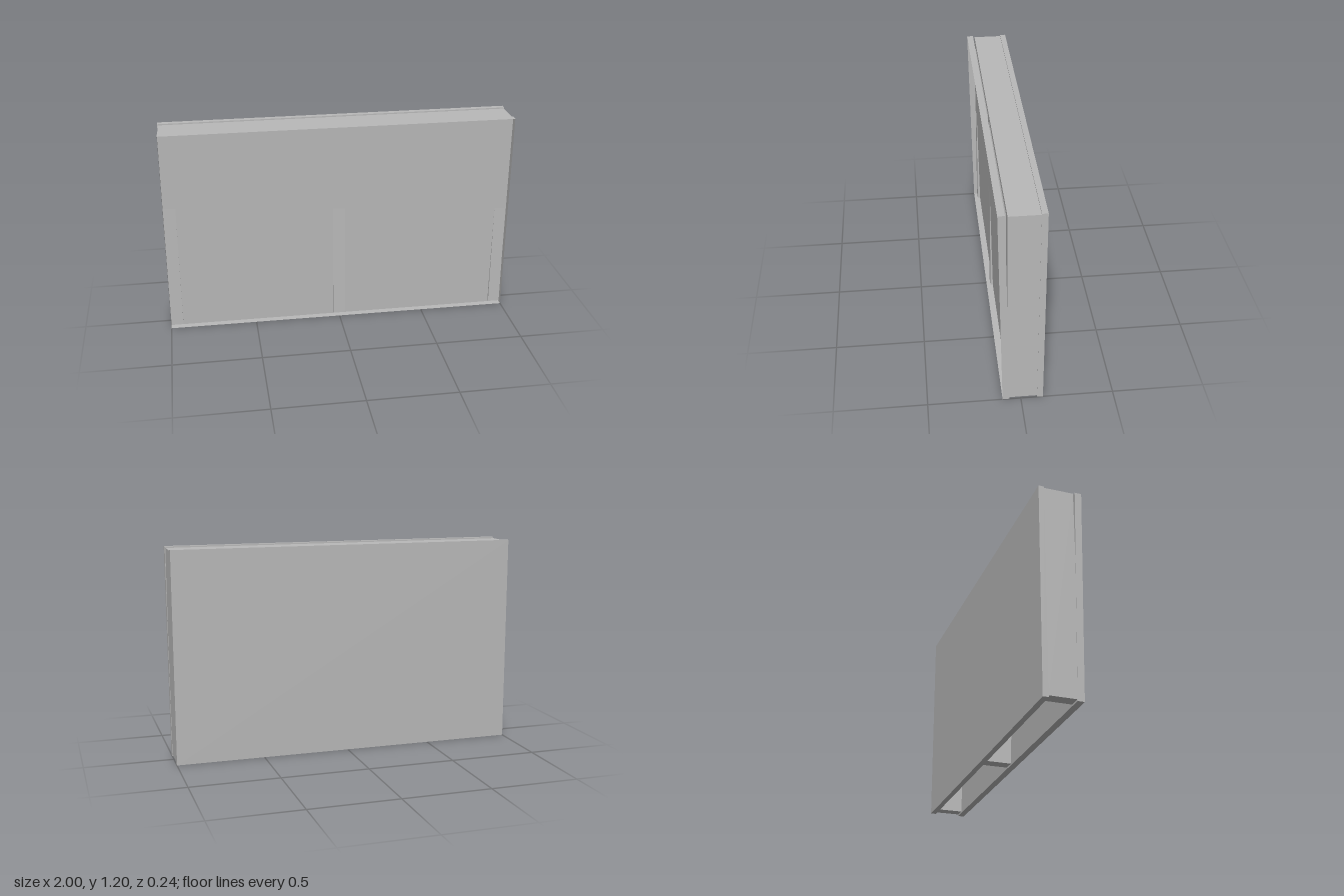
import * as THREE from 'three';

export function createModel() {
  const group = new THREE.Group();
  const grey = new THREE.MeshStandardMaterial({ color: 0xb8b8b8 });
  grey.name = 'plain grey';
  grey.side = THREE.DoubleSide;

  // Box given by its limits on each axis
  const box = (name, [x0, x1], [y0, y1], [z0, z1]) => {
    const mesh = new THREE.Mesh(new THREE.BoxGeometry(x1 - x0, y1 - y0, z1 - z0), grey);
    mesh.position.set((x0 + x1) / 2, (y0 + y1) / 2, (z0 + z1) / 2);
    mesh.name = name;
    group.add(mesh);
    return mesh;
  };

  const depth = [-0.088, 0.075];
  const low = 0.01, high = 1.193, plate = 0.035;

  // Back sheet
  box('backSheet', [-1, 1], [0, 1.2], [-0.12, -0.088]);

  // Doubled end studs: the outer runs full height, the inner carries the top plate
  for (const s of [-1, 1]) {
    const side = s > 0 ? 'left' : 'right';
    const span = (a, b) => (s > 0 ? [a, b] : [-b, -a]);
    box(side + 'OuterStud', span(0.965, 0.998), [low, high], depth);
    box(side + 'InnerStud', span(0.93, 0.965), [low, high - plate], depth);
  }

  // Middle stud and top plate
  box('middleStud', [-0.035, 0.035], [low, high - plate], depth);
  box('topPlate', [-0.965, 0.965], [high - plate, high], depth);

  // Front sheet: a shallow tray open to the front, leaning forward at the top
  const front = box('frontSheet', [-1, 1], [0, 1.2], [0.073, 0.11]);
  const index = Array.from(front.geometry.index.array);
  index.splice(24, 6); // leave the +z side open
  front.geometry.setIndex(index);
  front.geometry.clearGroups();
  front.rotation.set(0.0217, -0.0014, 0);

  return group;
}
